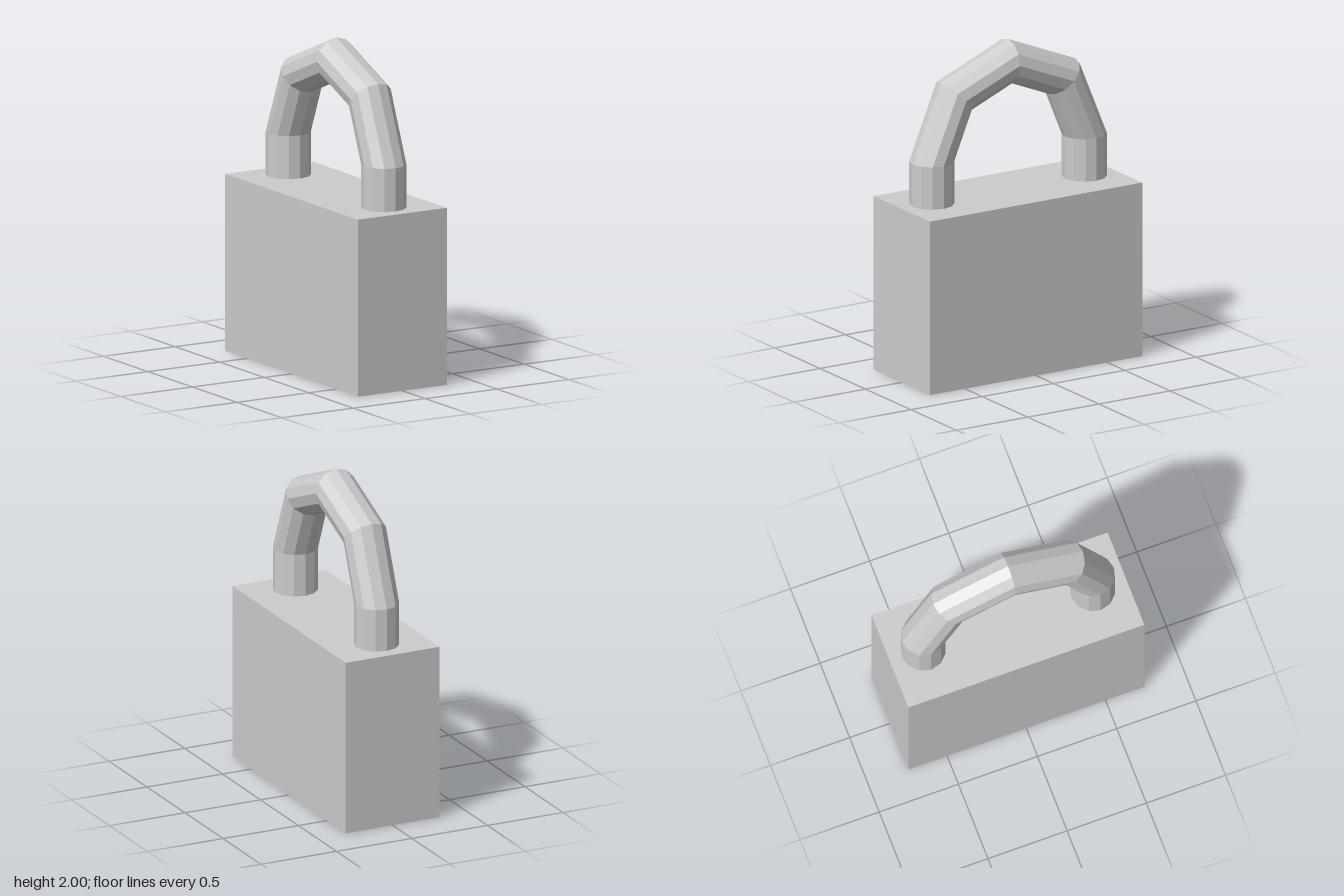
import * as THREE from 'three';

const BODY = { width: 0.62, height: 1.072, depth: 1.49 };
const BEND = { y: 1.333, radius: 0.535, tube: 0.134 };
const SIDES = 12;

export function createModel() {
  const group = new THREE.Group();
  const material = new THREE.MeshStandardMaterial({ color: 0xcccccc, flatShading: true });

  const add = (name, geometry, x, y, z) => {
    const mesh = new THREE.Mesh(geometry, material);
    mesh.name = name;
    mesh.position.set(x, y, z);
    group.add(mesh);
  };

  // Solid lock case
  add('lockBody', new THREE.BoxGeometry(BODY.width, BODY.height, BODY.depth), 0, BODY.height / 2, 0);

  // Shackle bend: half a torus in four straight segments, turned into the yz plane
  const bend = new THREE.TorusGeometry(BEND.radius, BEND.tube, SIDES, 4, Math.PI);
  bend.rotateY(Math.PI / 2);
  add('shackleBend', bend, 0, BEND.y, 0);

  // Straight legs running from the bend down to the case
  const legLength = BEND.y - BODY.height;
  for (const [name, side] of [['frontShackleLeg', 1], ['backShackleLeg', -1]]) {
    const leg = new THREE.CylinderGeometry(BEND.tube, BEND.tube, legLength, SIDES, 1, true);
    add(name, leg, 0, BODY.height + legLength / 2, side * BEND.radius);
  }

  return group;
}
